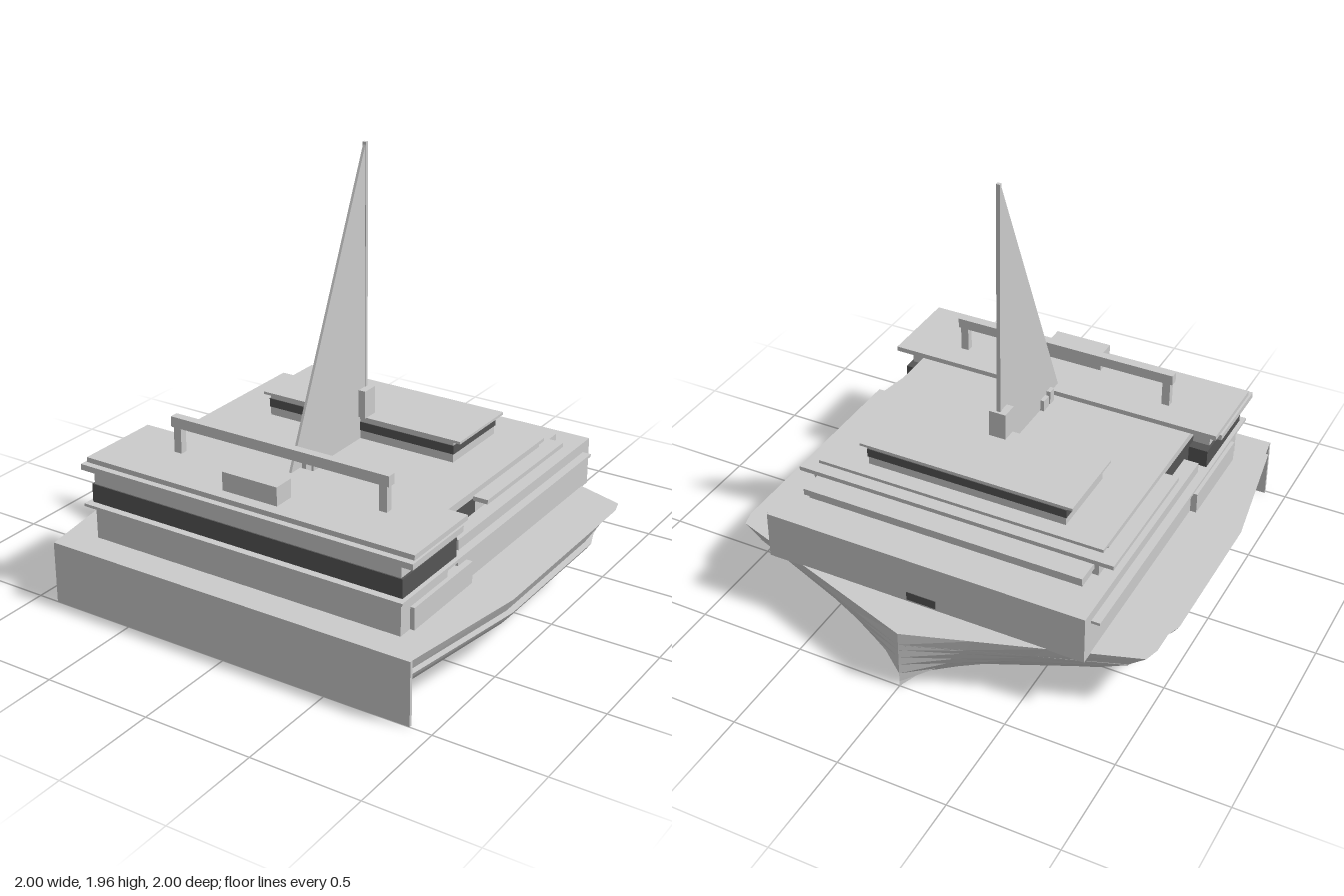
import * as THREE from 'three';

const light = new THREE.MeshStandardMaterial({ color: 0xcccccc, flatShading: true });
const dark = new THREE.MeshStandardMaterial({ color: 0x555555, flatShading: true });

// Box spanning x0..x1, y0..y1, z0..z1
function block(group, name, x0, x1, y0, y1, z0, z1, material = light) {
  const mesh = new THREE.Mesh(new THREE.BoxGeometry(x1 - x0, y1 - y0, z1 - z0), material);
  mesh.position.set((x0 + x1) / 2, (y0 + y1) / 2, (z0 + z1) / 2);
  mesh.name = name;
  group.add(mesh);
}

// Hull lofted through cross-sections from stern to stem
function createHull() {
  // [share of half width, height], deck edge to keel
  const midSection = [[1, 0.29], [0.97, 0.23], [1, 0.23], [0.98, 0.2], [0.945, 0.16], [0.88, 0.13], [0.7, 0.07], [0.4, 0.025], [0, 0]];
  const bowSection = [[1, 0.29], [0.9, 0.23], [0.89, 0.225], [0.82, 0.2], [0.72, 0.16], [0.6, 0.12], [0.42, 0.07], [0.2, 0.025], [0, 0]];
  // [z, half width of the deck, blend towards the bow section]
  const stations = [[0.985, 0.9, 0], [0.36, 1, 0], [-0.36, 1, 0], [-0.45, 1, 0.3], [-0.6, 1, 0.55],
    [-0.67, 0.98, 0.7], [-0.8, 0.594, 0.95], [-0.9, 0.297, 1], [-1, 0, 1]];

  const rings = stations.map(([z, width, blend]) => {
    const half = midSection.map(([x, y], i) => [
      THREE.MathUtils.lerp(x, bowSection[i][0], blend) * width,
      THREE.MathUtils.lerp(y, bowSection[i][1], blend),
    ]);
    const mirrored = half.slice(0, -1).reverse().map(([x, y]) => [-x, y]);
    return [[0, 0.29], ...half, ...mirrored].map(([x, y]) => [x, y, z]);
  });

  const positions = [];
  const count = rings[0].length;
  for (let j = 0; j < rings.length - 1; j++) {
    for (let i = 0; i < count; i++) {
      const n = (i + 1) % count;
      const a = rings[j][i], b = rings[j][n], c = rings[j + 1][n], d = rings[j + 1][i];
      positions.push(...a, ...b, ...d, ...b, ...c, ...d);
    }
  }
  const geometry = new THREE.BufferGeometry();
  geometry.setAttribute('position', new THREE.Float32BufferAttribute(positions, 3));
  geometry.computeVertexNormals();
  const hull = new THREE.Mesh(geometry, light);
  hull.name = 'hull';
  return hull;
}

// Thin triangular sail in the middle plane
function createSail() {
  const shape = new THREE.Shape([
    new THREE.Vector2(-0.52, 0.61), new THREE.Vector2(0.075, 0.61), new THREE.Vector2(0.075, 1.955),
  ]);
  const geometry = new THREE.ExtrudeGeometry(shape, { depth: 0.012, bevelEnabled: false });
  geometry.translate(0, 0, -0.006);
  geometry.rotateY(Math.PI / 2); // shape x becomes -z
  const sail = new THREE.Mesh(geometry, light);
  sail.name = 'sail';
  return sail;
}

export function createModel() {
  const model = new THREE.Group();
  model.name = 'boat';

  // Hull and stern plate
  model.add(createHull());
  block(model, 'transom', -0.9, 0.9, 0, 0.29, 0.985, 1);

  // Forward cabin with stepped roof
  block(model, 'forwardCabin', -0.76, 0.76, 0.285, 0.51, -0.8, 0.4);
  block(model, 'bowHatch', -0.07, 0.07, 0.3, 0.34, -0.803, -0.79, dark);
  block(model, 'roofStepLower', -0.66, 0.66, 0.51, 0.54, -0.615, 0.14);
  block(model, 'roofStepUpper', -0.67, 0.67, 0.54, 0.57, -0.64, -0.49);
  block(model, 'saloonWall', -0.69, 0.69, 0.51, 0.57, -0.52, 0.14);
  block(model, 'saloonWindow', -0.69, 0.69, 0.39, 0.58, 0.14, 0.5, dark);
  block(model, 'saloonEave', -0.76, 0.76, 0.57, 0.59, -0.53, 0.16);
  block(model, 'saloonRoofBase', -0.69, 0.69, 0.58, 0.605, -0.43, 0.5);
  block(model, 'saloonRoof', -0.69, 0.69, 0.6, 0.615, -0.48, 0.5);

  // Aft cabin with window band and double roof
  block(model, 'aftCabin', -0.77, 0.77, 0.29, 0.605, 0.5, 0.86);
  block(model, 'aftWindowBand', -0.78, 0.78, 0.43, 0.548, 0.45, 0.866, dark);
  block(model, 'sideRail', -0.8, 0.8, 0.45, 0.463, -0.74, 0.9);
  block(model, 'aftRoofLower', -0.83, 0.83, 0.605, 0.632, 0.485, 0.875);
  block(model, 'aftRoofUpper', -0.82, 0.82, 0.632, 0.655, 0.435, 0.845);

  // Top cabin
  block(model, 'topCabin', -0.48, 0.48, 0.61, 0.71, -0.4, -0.035);
  block(model, 'topWindowBand', -0.484, 0.484, 0.655, 0.695, -0.404, -0.031, dark);
  block(model, 'topRoof', -0.515, 0.515, 0.71, 0.722, -0.415, -0.03);

  // Mast, sail and deck fittings
  block(model, 'mast', -0.009, 0.009, 0.61, 1.955, -0.087, -0.07);
  model.add(createSail());
  block(model, 'mastBase', -0.04, 0.04, 0.722, 0.85, -0.1, -0.02);
  block(model, 'forwardWinch', -0.025, 0.025, 0.61, 0.67, 0.315, 0.365);
  block(model, 'aftWinch', -0.025, 0.025, 0.61, 0.682, 0.38, 0.42);
  block(model, 'console', -0.137, 0.137, 0.655, 0.74, 0.69, 0.79);

  // Arch over the aft roof
  block(model, 'archBeam', -0.55, 0.55, 0.772, 0.82, 0.56, 0.6);
  for (const side of [-1, 1]) {
    const x = side * 0.52;
    block(model, 'archPost', x - 0.019, x + 0.019, 0.655, 0.772, 0.563, 0.597);
    // Lockers along the side decks
    const locker = side * 0.765;
    block(model, 'sideLocker', locker - 0.025, locker + 0.025, 0.29, 0.39, 0.33, 0.79);
  }
  return model;
}
